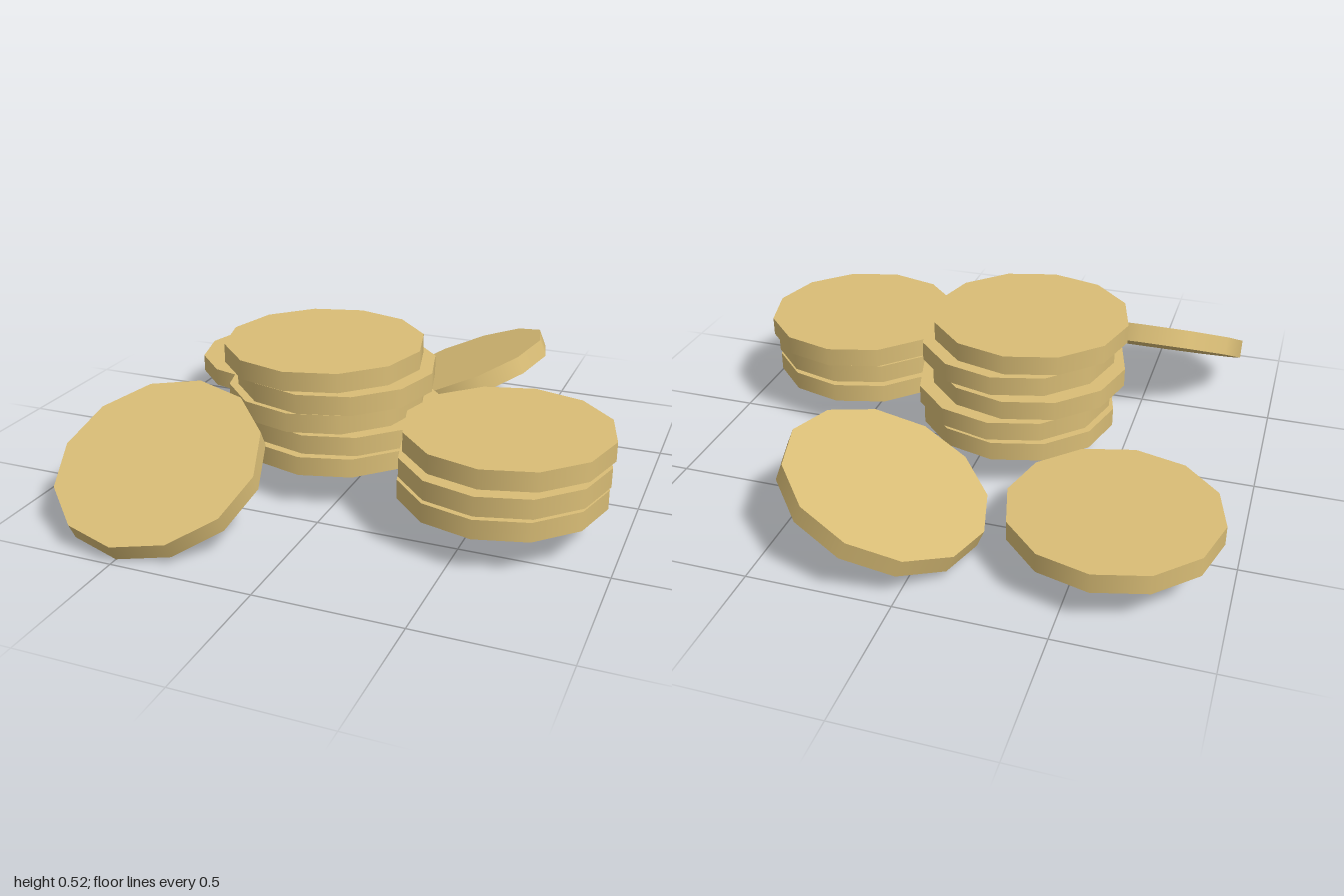
import * as THREE from 'three';

const RADIUS = 0.358;
const THICKNESS = 0.068;
const LAYERS = [0.163, 0.245, 0.326, 0.406, 0.487]; // centre height of each layer

export function createModel() {
  const model = new THREE.Group();
  model.name = 'coinPile';

  const gold = new THREE.MeshStandardMaterial({ color: 0xd9bd76 });
  gold.name = 'pale gold';
  const disc = new THREE.CylinderGeometry(RADIUS, RADIUS, THICKNESS, 12);

  const addCoin = (parent, name, x, y, z) => {
    const coin = new THREE.Mesh(disc, gold);
    coin.name = name;
    coin.position.set(x, y, z);
    parent.add(coin);
    return coin;
  };

  // Each stack lists the x, z centres of its coins from the bottom up
  const addStack = (name, centres) => {
    const stack = new THREE.Group();
    stack.name = name;
    centres.forEach(([x, z], i) => addCoin(stack, `${name}Coin${i + 1}`, x, LAYERS[i], z));
    model.add(stack);
  };

  addStack('tallStack', [
    [-0.105, 0.063], [-0.09, 0.059], [-0.137, 0.078], [-0.093, 0.093], [-0.135, 0.106],
  ]);
  addStack('shortStack', [[0.582, 0.283], [0.587, 0.287], [0.592, 0.261]]);

  // Single coin lying flat
  addCoin(model, 'flatCoin', -0.597, LAYERS[0], -0.547);

  // Two coins leaning towards the tall stack
  addCoin(model, 'frontLeaningCoin', -0.5, 0.204, 0.667).rotation.x = 0.495;
  addCoin(model, 'backLeaningCoin', 0.155, 0.184, -0.643).rotation.z = 0.39;

  return model;
}
